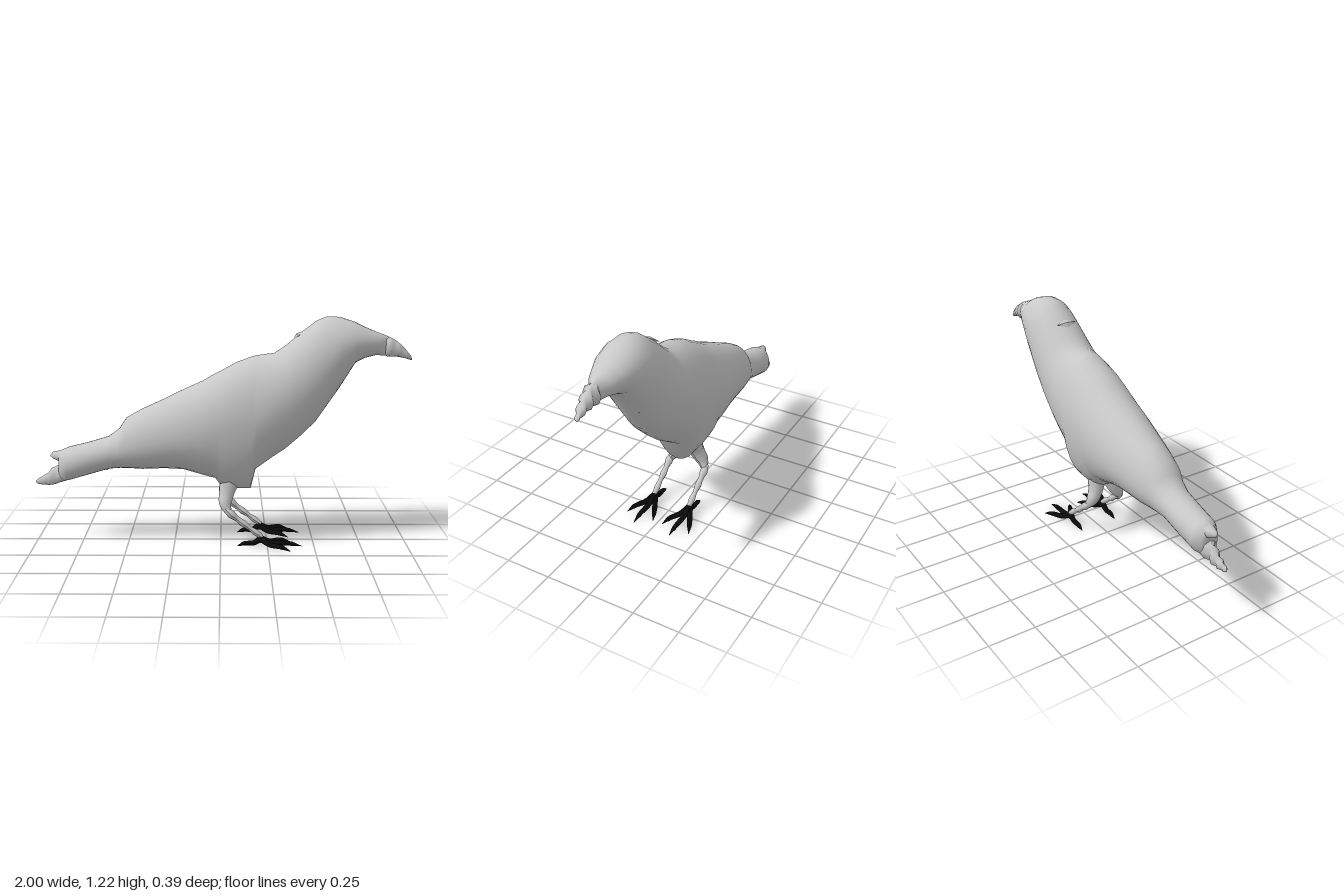
import * as THREE from 'three';

const plumage = new THREE.MeshStandardMaterial({ color: 0xc8c8c8 });
plumage.name = 'plumageGrey';
const claw = new THREE.MeshStandardMaterial({ color: 0x0b0b0b });
claw.name = 'clawBlack';

// Skin elliptical rings along x; each station is [x, top, bottom, halfWidth, widestHeight]
function loft(stations, sides = 28) {
  const pos = [], index = [];
  for (const [x, top, bottom, w, mid = (top + bottom) / 2] of stations) {
    for (let j = 0; j < sides; j++) {
      const a = (j / sides) * Math.PI * 2, c = Math.cos(a);
      pos.push(x, mid + c * (c > 0 ? top - mid : mid - bottom), w * Math.sin(a));
    }
  }
  for (let i = 0; i < stations.length - 1; i++) {
    for (let j = 0; j < sides; j++) {
      const a = i * sides + j, b = i * sides + (j + 1) % sides;
      index.push(a, b, a + sides, b, b + sides, a + sides);
    }
  }
  const g = new THREE.BufferGeometry();
  g.setAttribute('position', new THREE.Float32BufferAttribute(pos, 3));
  g.setIndex(index);
  g.computeVertexNormals();
  return g;
}

// Tube through points whose radius follows a list
function limb(points, radii, sides = 8) {
  const curve = new THREE.CatmullRomCurve3(points.map(p => new THREE.Vector3(...p)));
  const steps = 16;
  const g = new THREE.TubeGeometry(curve, steps, 1, sides);
  const p = g.attributes.position, v = new THREE.Vector3();
  for (let i = 0; i <= steps; i++) {
    const c = curve.getPointAt(i / steps);
    const f = (i / steps) * (radii.length - 1), k = Math.min(Math.floor(f), radii.length - 2);
    const r = THREE.MathUtils.lerp(radii[k], radii[k + 1], f - k);
    for (let j = 0; j <= sides; j++) {
      const n = i * (sides + 1) + j;
      v.fromBufferAttribute(p, n).sub(c).multiplyScalar(r).add(c);
      p.setXYZ(n, v.x, v.y, v.z);
    }
  }
  g.computeVertexNormals();
  return g;
}

function add(parent, name, geometry, material) {
  const m = new THREE.Mesh(geometry, material);
  m.name = name;
  parent.add(m);
  return m;
}

export function createModel() {
  const bird = new THREE.Group();
  bird.name = 'bird';

  // Body from tail root to face, including the thigh bulge
  add(bird, 'body', loft([
    [-0.87, 0.47, 0.45, 0.01, 0.46],
    [-0.865, 0.505, 0.34, 0.05, 0.43],
    [-0.82, 0.525, 0.345, 0.08, 0.44],
    [-0.7, 0.555, 0.38, 0.085, 0.47],
    [-0.6, 0.585, 0.41, 0.087, 0.5],
    [-0.54, 0.63, 0.415, 0.1, 0.52],
    [-0.5, 0.69, 0.415, 0.113, 0.54],
    [-0.42, 0.735, 0.41, 0.13, 0.56],
    [-0.3, 0.79, 0.415, 0.15, 0.59],
    [-0.2, 0.84, 0.41, 0.165, 0.61],
    [-0.1, 0.885, 0.38, 0.175, 0.63],
    [-0.03, 0.925, 0.36, 0.179, 0.65],
    [0, 0.94, 0.32, 0.18, 0.66],
    [0.08, 0.985, 0.3, 0.18, 0.68],
    [0.16, 1.015, 0.3, 0.178, 0.7],
    [0.185, 1.022, 0.41, 0.177, 0.71],
    [0.28, 1.035, 0.48, 0.172, 0.77],
    [0.34, 1.075, 0.52, 0.166, 0.81],
    [0.42, 1.145, 0.59, 0.158, 0.87],
    [0.5, 1.205, 0.67, 0.15, 0.95],
    [0.55, 1.225, 0.745, 0.145, 1],
    [0.62, 1.222, 0.85, 0.135, 1.06],
    [0.7, 1.195, 0.985, 0.112, 1.09],
    [0.75, 1.17, 1.01, 0.09, 1.09],
    [0.81, 1.145, 1.025, 0.063, 1.085],
    [0.85, 1.13, 1.02, 0.03, 1.08],
    [0.87, 1.122, 1.02, 0.02, 1.075],
  ]), plumage);

  // Ridged beak, hooked down at the tip
  add(bird, 'beak', loft([
    [0.85, 1.125, 1.025, 0.02],
    [0.875, 1.12, 1.015, 0.05],
    [0.895, 1.11, 1.015, 0.022],
    [0.92, 1.095, 1.015, 0.04],
    [0.94, 1.078, 1.012, 0.018],
    [0.96, 1.06, 1.008, 0.028],
    [0.98, 1.035, 1.002, 0.012],
    [0.993, 1.02, 0.998, 0.015],
    [1, 1.003, 0.998, 0.001],
  ], 8), plumage);

  // Ragged tail: long lower feather and short upper feather
  add(bird, 'lowerTailFeather', loft([
    [-1, 0.338, 0.33, 0.001],
    [-0.985, 0.352, 0.32, 0.014],
    [-0.97, 0.36, 0.318, 0.008],
    [-0.95, 0.372, 0.316, 0.025],
    [-0.93, 0.382, 0.315, 0.012],
    [-0.91, 0.41, 0.316, 0.032],
    [-0.89, 0.42, 0.322, 0.018],
    [-0.868, 0.43, 0.33, 0.045],
    [-0.8, 0.46, 0.35, 0.05],
  ], 8), plumage);
  add(bird, 'upperTailFeather', loft([
    [-0.915, 0.482, 0.476, 0.001],
    [-0.9, 0.5, 0.462, 0.018],
    [-0.875, 0.505, 0.45, 0.03],
    [-0.82, 0.52, 0.45, 0.05],
  ], 8), plumage);

  // Small ruffled feather tufts on breast, nape and belly: [x, y, tilt, halfSpan]
  const tufts = [[0.607, 0.85, 0.95, 0.07], [0.515, 0.705, 0.9, 0.05], [0.47, 0.65, 0.8, 0.035],
    [0.4, 1.128, 0.7, 0.06], [-0.36, 0.42, 0, 0.05], [-0.61, 0.412, 0.1, 0.05]];
  for (const [x, y, tilt, span] of tufts) {
    const g = new THREE.OctahedronGeometry(1).scale(0.025, 0.011, span);
    const t = add(bird, 'featherTuft', g, plumage);
    t.position.set(x, y, 0);
    t.rotation.z = tilt;
  }

  // Legs and four-toed feet
  for (const side of [1, -1]) {
    const leg = new THREE.Group();
    leg.name = side > 0 ? 'leftLeg' : 'rightLeg';
    const z = 0.11 * side;
    add(leg, 'thigh', limb([[0.05, 0.36, 0.035 * side], [0.03, 0.28, 0.06 * side],
      [0.025, 0.235, 0.085 * side], [0.045, 0.19, z]], [0.055, 0.042, 0.035, 0.016]), plumage);
    add(leg, 'shank', limb([[0.025, 0.215, z], [0.07, 0.175, z], [0.14, 0.12, z], [0.22, 0.06, z]],
      [0.012, 0.024, 0.014, 0.019, 0.012, 0.018, 0.013]), plumage);

    const foot = new THREE.Group();
    foot.name = 'foot';
    foot.position.set(0.215, 0, z);
    const ankle = add(foot, 'ankle', new THREE.SphereGeometry(0.021, 10, 8), claw);
    ankle.position.y = 0.047;
    // Toe tips relative to the ankle: middle, outer, inner, hind
    for (const [x, tz] of [[0.22, 0], [0.155, 0.082], [0.155, -0.082], [-0.125, 0]]) {
      add(foot, 'toe', limb([[0, 0.05, 0], [x * 0.3, 0.026, tz * 0.35],
        [x * 0.7, 0.023, tz * 0.75], [x, 0.008, tz]], [0.019, 0.015, 0.014, 0.012, 0.001]), claw);
    }
    leg.add(foot);
    bird.add(leg);
  }
  return bird;
}
